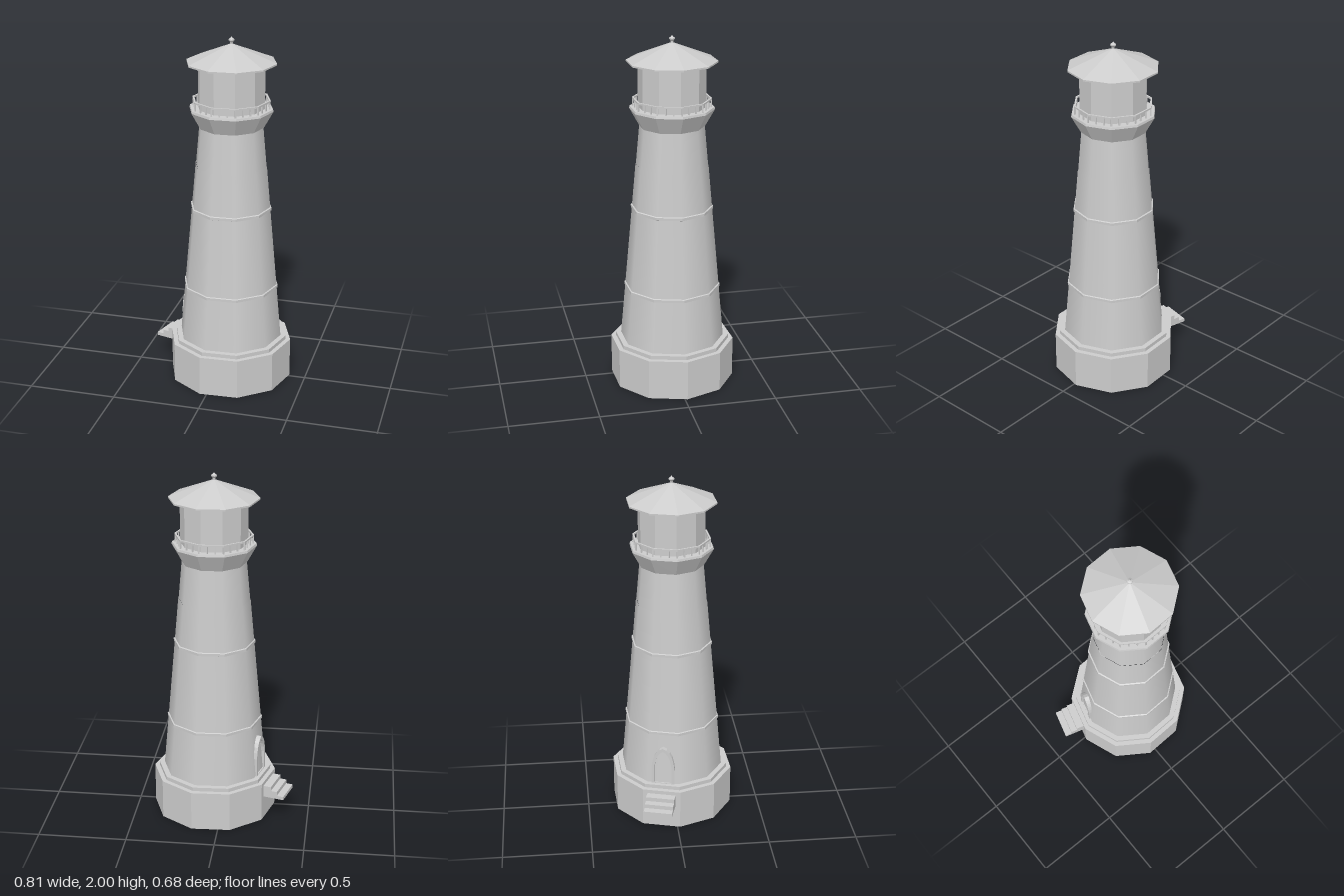
import * as THREE from 'three';

const SIDES = 10;
const START = THREE.MathUtils.degToRad(20.4); // turns the decagon so one face meets the steps
const DOOR = THREE.MathUtils.degToRad(195.6); // direction of the entrance in the xz plane
const AXIS_X = 0.055;

export function createModel() {
  const stone = new THREE.MeshStandardMaterial({ color: 0xcccccc });
  stone.name = 'stone grey';

  const model = new THREE.Group();
  model.name = 'lighthouse';
  const tower = new THREE.Group();
  tower.name = 'tower';
  tower.position.x = AXIS_X;
  model.add(tower);

  const add = (name, geometry, parent = tower) => {
    const mesh = new THREE.Mesh(geometry, stone);
    mesh.name = name;
    parent.add(mesh);
    return mesh;
  };
  const facet = (geometry) => {
    const flat = geometry.index ? geometry.toNonIndexed() : geometry;
    flat.computeVertexNormals();
    return flat;
  };
  // Ten-sided turned part from [radius, height] pairs, bottom to top
  const turned = (name, profile, smooth = false) => {
    const points = profile.map(([r, y]) => new THREE.Vector2(r, y));
    const geometry = new THREE.LatheGeometry(points, SIDES, START);
    return add(name, smooth ? geometry : facet(geometry));
  };

  // Base and plinth step
  turned('base', [[0, 0], [0.352, 0], [0.352, 0.23], [0.28, 0.23]]);
  turned('plinthStep', [[0.325, 0.23], [0.325, 0.252], [0.28, 0.252]]);

  // Tapering shaft
  turned('lowerShaft', [[0.295, 0.25], [0.202, 1.28], [0.195, 1.28]], false).removeFromParent();
  turned('lowerShaft', [[0.295, 0.25], [0.202, 1.28]], true);
  turned('upperShaft', [[0.2, 1.278], [0.18, 1.5]], true);

  // String courses
  for (const [y, r] of [[0.562, 0.266], [1.03, 0.224]]) {
    turned('bandRing', [
      [r - 0.005, y - 0.013], [r + 0.007, y - 0.008],
      [r + 0.007, y + 0.007], [r - 0.005, y + 0.012],
    ]);
  }

  // Flared gallery
  turned('gallery', [[0.175, 1.5], [0.182, 1.5], [0.235, 1.595], [0.232, 1.607], [0.17, 1.607]]);

  // Railing: one rail and three posts to each side
  const railR = 0.213;
  turned('handrail', [
    [railR - 0.005, 1.647], [railR + 0.005, 1.647],
    [railR + 0.005, 1.656], [railR - 0.005, 1.656], [railR - 0.005, 1.647],
  ]);
  const postGeometry = new THREE.BoxGeometry(0.007, 0.046, 0.007);
  const corner = (i) => {
    const a = START + (i * Math.PI * 2) / SIDES;
    return new THREE.Vector3(Math.sin(a) * railR, 1.627, Math.cos(a) * railR);
  };
  for (let i = 0; i < SIDES; i++) {
    for (let j = 0; j < 3; j++) {
      const post = add('railPost', postGeometry);
      post.position.lerpVectors(corner(i), corner(i + 1), j / 3);
      post.rotation.y = START + ((i + 0.5) * Math.PI * 2) / SIDES;
    }
  }

  // Lantern room, roof and finial
  turned('lanternRoom', [[0.187, 1.6], [0.187, 1.86]]);
  turned('roof', [[0, 1.853], [0.25, 1.853], [0.25, 1.862], [0, 1.962]]);
  turned('finial', [
    [0.008, 1.95], [0.008, 1.968], [0.016, 1.978], [0.016, 1.984], [0.007, 1.99], [0, 2],
  ]);

  // Pointed arch door surround
  const arch = (path, half, bottom, spring, top) => {
    path.moveTo(-half, bottom);
    path.lineTo(half, bottom);
    path.lineTo(half, spring);
    path.quadraticCurveTo(half * 0.85, top - 0.02, 0, top);
    path.quadraticCurveTo(-half * 0.85, top - 0.02, -half, spring);
    path.closePath();
    return path;
  };
  const surround = arch(new THREE.Shape(), 0.066, 0.25, 0.36, 0.48);
  surround.holes.push(arch(new THREE.Path(), 0.049, 0.256, 0.36, 0.46));
  const entrance = new THREE.Group();
  entrance.name = 'entrance';
  entrance.rotation.y = Math.PI / 2 - DOOR;
  tower.add(entrance);
  const frame = add('doorFrame',
    new THREE.ExtrudeGeometry(surround, { depth: 0.05, bevelEnabled: false, curveSegments: 5 }), entrance);
  frame.position.z = 0.238;

  // Entrance steps
  const stairs = new THREE.Shape([
    [0.32, 0.14], [0.456, 0.14], [0.456, 0.16], [0.417, 0.16],
    [0.417, 0.184], [0.38, 0.184], [0.38, 0.208], [0.32, 0.208],
  ].map(([x, y]) => new THREE.Vector2(x, y)));
  const stepGeometry = new THREE.ExtrudeGeometry(stairs, { depth: 0.163, bevelEnabled: false });
  stepGeometry.translate(0, 0, -0.0815);
  add('entranceSteps', stepGeometry).rotation.y = -DOOR;

  return model;
}
